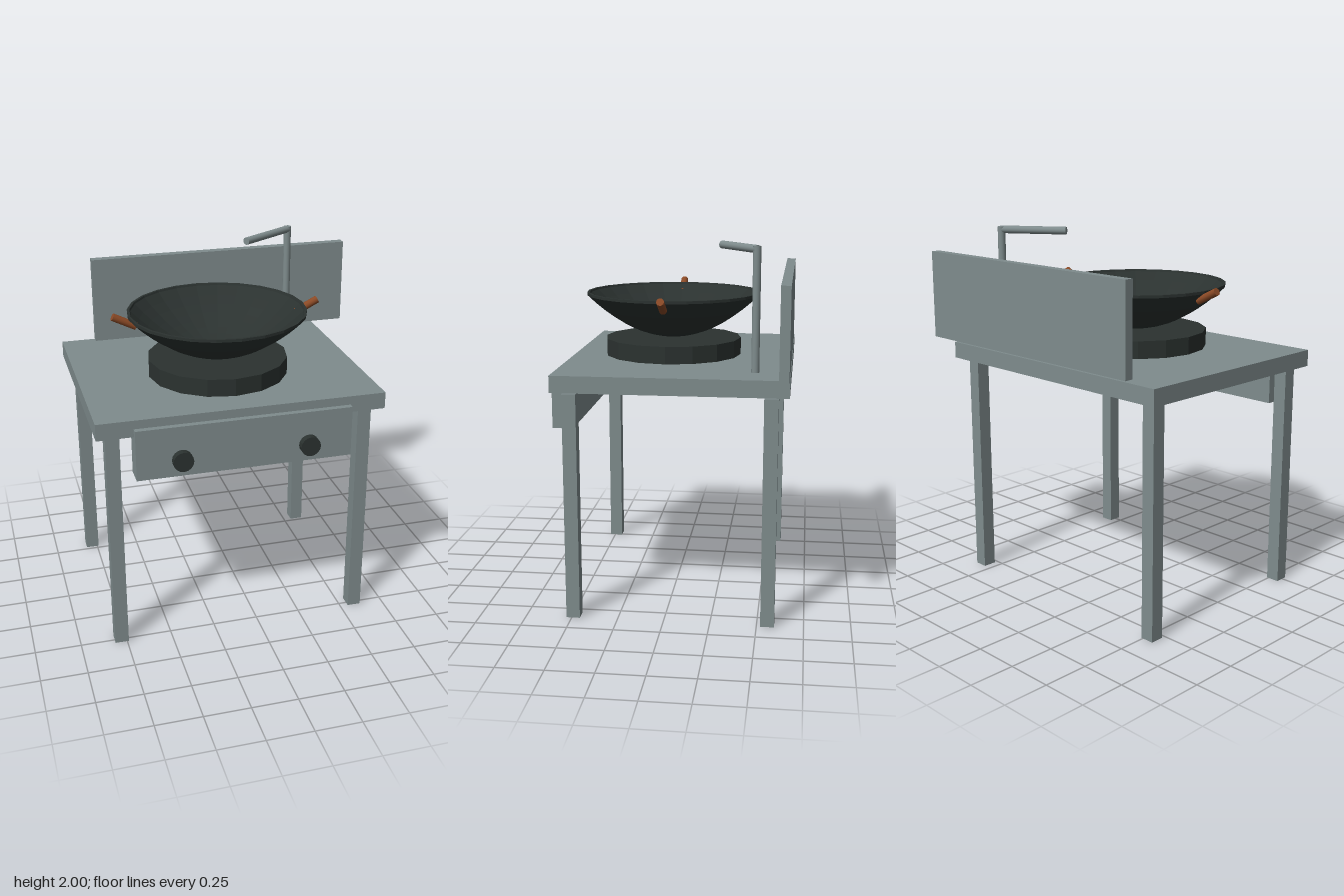
import * as THREE from 'three';

export function createModel() {
  const model = new THREE.Group();
  model.name = 'wokStove';

  const material = (name, color, opts = {}) => {
    const m = new THREE.MeshStandardMaterial({ color, ...opts });
    m.name = name;
    return m;
  };
  const steel = material('steel', 0x7f8c8d);
  const iron = material('darkIron', 0x2b3230, { flatShading: true });
  const wood = material('brownWood', 0x8b4a26);

  const add = (name, geometry, mat) => {
    const mesh = new THREE.Mesh(geometry, mat);
    mesh.name = name;
    model.add(mesh);
    return mesh;
  };

  // Box given by its min and max on each axis
  const box = (name, x0, x1, y0, y1, z0, z1) =>
    add(name, new THREE.BoxGeometry(x1 - x0, y1 - y0, z1 - z0), steel)
      .position.set((x0 + x1) / 2, (y0 + y1) / 2, (z0 + z1) / 2);

  // Round bar between two points
  const bar = (name, a, b, radius, mat, sides) => {
    const from = new THREE.Vector3(...a);
    const dir = new THREE.Vector3(...b).sub(from);
    const mesh = add(name, new THREE.CylinderGeometry(radius, radius, dir.length(), sides), mat);
    mesh.position.copy(from).addScaledVector(dir, 0.5);
    mesh.quaternion.setFromUnitVectors(new THREE.Vector3(0, 1, 0), dir.normalize());
    return mesh;
  };

  // Table, splash panel and control panel
  box('tabletop', -0.867, 0.675, 1.255, 1.345, -0.65, 0.58);
  box('backPanel', -0.675, 0.863, 1.35, 1.84, -0.648, -0.598);
  box('controlPanel', -0.675, 0.48, 1.022, 1.298, 0.5, 0.612);

  // Legs
  for (const x of [-0.778, 0.582])
    for (const z of [-0.557, 0.492])
      box('leg', x - 0.037, x + 0.037, 0, 1.238, z - 0.037, z + 0.037);

  // Knobs
  for (const x of [-0.437, 0.243])
    bar('knob', [x, 1.115, 0.605], [x, 1.115, 0.65], 0.054, iron, 16);

  // Burner
  const cx = -0.097, cz = 0.03;
  bar('burner', [cx, 1.345, cz], [cx, 1.44, cz], 0.385, iron, 16);

  // Wok: outer curve up to the rim, then back down the inside
  const R = 0.488, base = 1.443, depth = 0.255, steps = 10;
  const profile = [];
  for (let i = 0; i <= steps; i++) {
    const t = i / steps;
    profile.push(new THREE.Vector2(R * t, base + (depth - 0.015) * t * t));
  }
  profile.push(new THREE.Vector2(R, base + depth), new THREE.Vector2(R - 0.014, base + depth));
  for (let i = steps; i >= 0; i--) {
    const t = i / steps;
    profile.push(new THREE.Vector2((R - 0.018) * t, base + 0.012 + (depth - 0.022) * t * t));
  }
  add('wok', new THREE.LatheGeometry(profile, 24), iron).position.set(cx, 0, cz);

  // Wok handles, sloping up and outward
  for (const s of [-1, 1])
    bar('wokHandle', [cx + s * 0.448, 1.643, cz], [cx + s * 0.572, 1.705, cz], 0.021, wood, 12);

  // Faucet: riser and spout angled over the wok
  bar('faucetRiser', [0.46, 1.345, -0.465], [0.46, 1.995, -0.465], 0.021, steel, 16);
  bar('faucetSpout', [0.465, 1.979, -0.468], [0.152, 1.979, -0.265], 0.021, steel, 16);

  return model;
}
